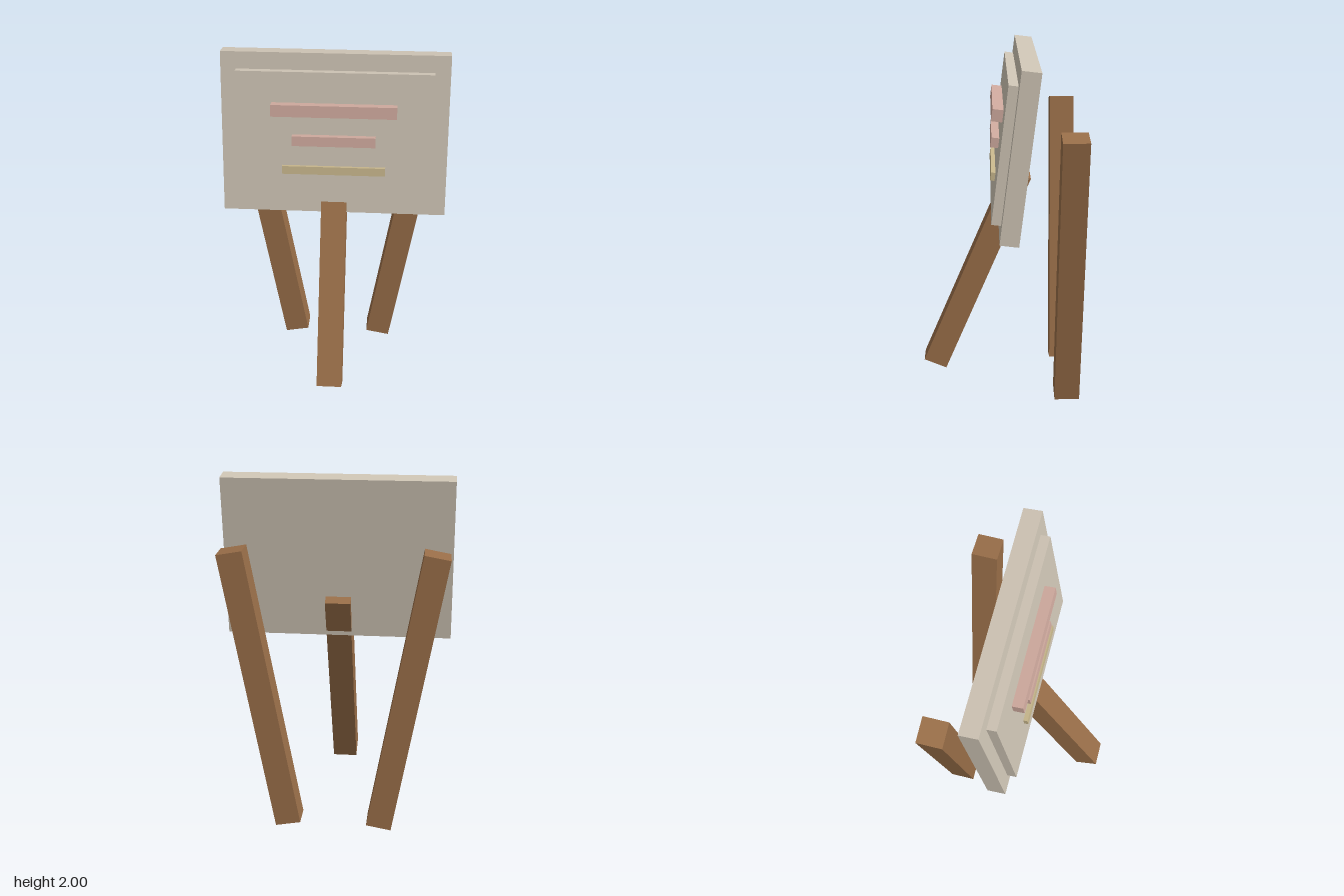
import * as THREE from 'three';

export function createModel() {
  const model = new THREE.Group();
  model.name = 'signOnPosts';

  const mat = (name, color) => {
    const m = new THREE.MeshStandardMaterial({ color });
    m.name = name;
    return m;
  };
  const wood = mat('wood', 0x9a6f49);
  const cream = mat('cream', 0xd0c6b6);
  const pink = mat('pink', 0xd1ab9f);
  const straw = mat('straw', 0xc9b88d);

  const box = (parent, name, material, size, pos) => {
    const mesh = new THREE.Mesh(new THREE.BoxGeometry(...size), material);
    mesh.name = name;
    mesh.position.set(...pos);
    parent.add(mesh);
    return mesh;
  };

  // Sign leaning back slightly: backing board, raised panel and bars
  const sign = new THREE.Group();
  sign.name = 'sign';
  sign.position.set(0, 1.529, -0.095);
  sign.rotation.x = -0.12;
  model.add(sign);

  const boardFront = 0.0525;
  const panelFront = boardFront + 0.053;
  box(sign, 'backingBoard', cream, [1.288, 0.936, 0.105], [0, 0, 0]);
  box(sign, 'raisedPanel', cream, [1.112, 0.758, 0.053], [0, -0.008, boardFront + 0.0265]);

  // Bars: name, material, width, height, local y, projection
  const bars = [
    ['upperBar', pink, 0.705, 0.067, 0.163, 0.061],
    ['middleBar', pink, 0.472, 0.056, -0.015, 0.044],
    ['lowerBar', straw, 0.588, 0.046, -0.193, 0.024],
  ];
  for (const [name, material, w, h, y, d] of bars) {
    box(sign, name, material, [w, h, d], [0, y, panelFront + d / 2]);
  }

  // Front prop leaning back through the sign
  const frontLeg = box(model, 'frontLeg', wood, [0.145, 1.293, 0.142], [0, 0.708, 0.142]);
  frontLeg.rotation.x = -0.401;

  // Rear posts splaying outward at the top
  for (const side of [-1, 1]) {
    const leg = box(model, side > 0 ? 'leftRearLeg' : 'rightRearLeg', wood,
      [0.145, 1.645, 0.145], [side * 0.41, 0.823, -0.3875]);
    leg.rotation.z = -side * 0.18;
  }

  return model;
}
